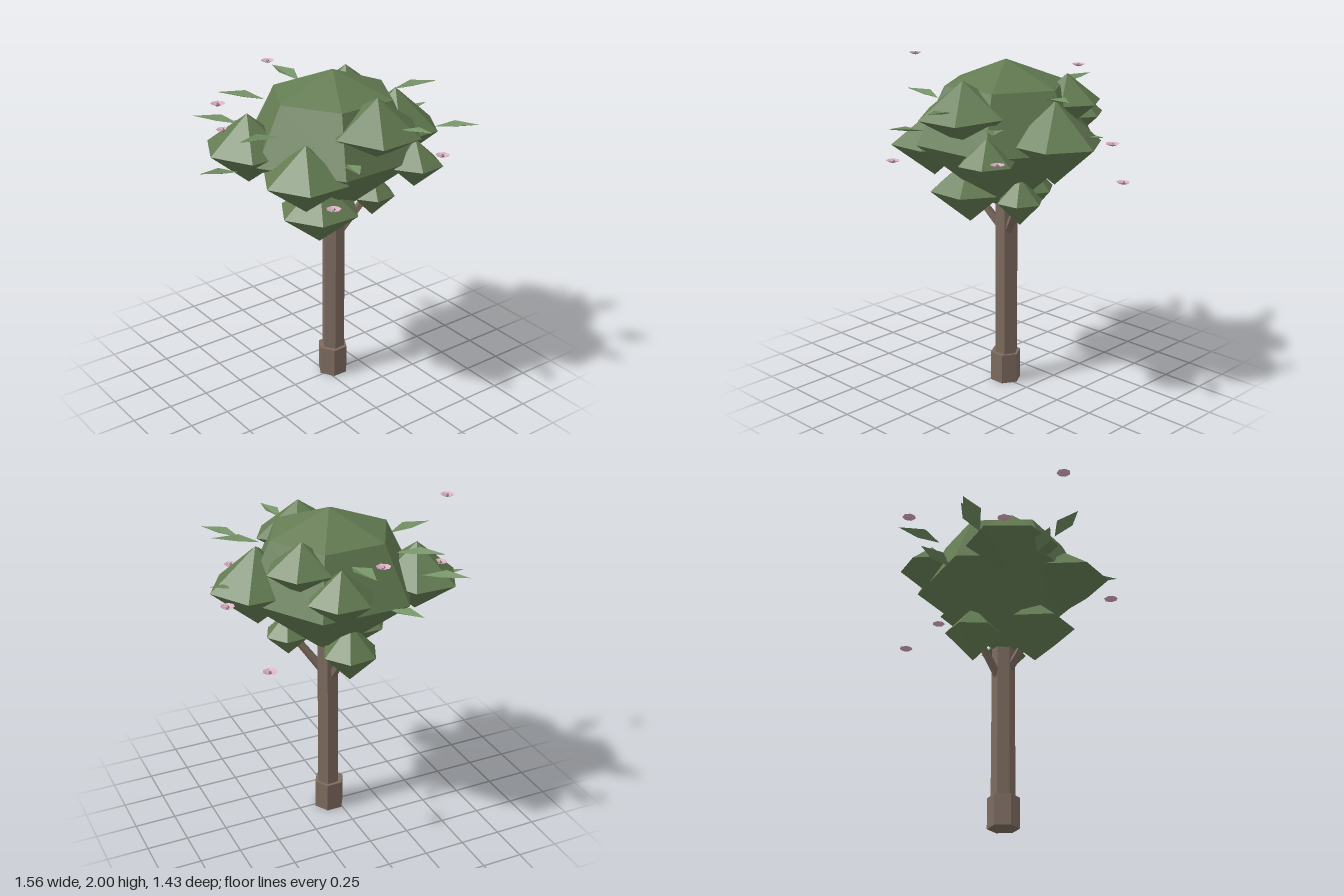
import * as THREE from 'three';

const V = (x, y, z) => new THREE.Vector3(x, y, z);
const paint = (color, extra = {}) =>
  new THREE.MeshStandardMaterial({ color, flatShading: true, ...extra });
const profile = (points) => points.map(([r, y]) => new THREE.Vector2(r, y));

export function createModel() {
  const group = new THREE.Group();
  const bark = paint(0x7d6b5f);
  const foliage = paint(0x637b52);
  const leafGreen = paint(0x739064, { side: THREE.DoubleSide });
  const pink = paint(0xdcaac2, { side: THREE.DoubleSide });
  const grey = paint(0x8f8a80);

  const add = (name, geometry, material, pos, parent = group) => {
    const mesh = new THREE.Mesh(geometry, material);
    mesh.name = name;
    mesh.position.copy(pos);
    parent.add(mesh);
    return mesh;
  };

  // Hexagonal trunk and thicker foot
  const foot = add('trunkFoot', new THREE.CylinderGeometry(0.095, 0.095, 0.185, 6), bark, V(0.055, 0.0925, -0.017));
  foot.rotation.y = Math.PI / 6;
  const trunk = add('trunk', new THREE.CylinderGeometry(0.07, 0.072, 1.2, 6), bark, V(0.06, 0.7, -0.017));
  trunk.rotation.y = Math.PI / 6 + 0.08;

  // Short branches, one reaching into each low clump
  const branches = [
    [V(0.09, 0.97, 0.0), V(0.26, 1.22, 0.08)],
    [V(0.04, 0.98, 0.0), V(-0.12, 1.2, 0.08)],
    [V(0.05, 0.94, -0.05), V(0.02, 1.18, -0.22)],
  ];
  for (const [a, b] of branches) {
    const d = b.clone().sub(a);
    const branch = add('branch', new THREE.CylinderGeometry(0.022, 0.028, d.length(), 5), bark, a.clone().add(b).multiplyScalar(0.5));
    branch.quaternion.setFromUnitVectors(V(0, 1, 0), d.normalize());
  }

  // Main crown: six-sided, domed above and conical below
  const crownShape = profile([[0, 1.08], [0.54, 1.525], [0.37, 1.86], [0, 2]]);
  const crown = add('crown', new THREE.LatheGeometry(crownShape, 6), foliage, V(0.05, 0, -0.02));
  crown.rotation.y = Math.PI / 6 + 0.03;

  // Smaller clumps around it: x, y, z, radius x, height, radius z, turn, forward tilt
  const clumps = [
    [0.08, 1.735, 0.34, 0.28, 0.19, 0.27, 0.05, 0.1],
    [0.32, 1.5, 0.41, 0.165, 0.145, 0.17, 0.1, 0],
    [-0.42, 1.57, -0.2, 0.25, 0.21, 0.28, 0, 0],
    [-0.31, 1.49, 0.22, 0.26, 0.2, 0.26, 0, 0],
    [0.48, 1.58, 0.03, 0.28, 0.24, 0.27, 0, 0],
    [0.32, 1.76, -0.25, 0.21, 0.16, 0.2, 0, 0],
    [0.18, 1.64, -0.46, 0.2, 0.17, 0.19, 0, 0],
    [-0.13, 1.21, 0.1, 0.25, 0.2, 0.24, 0, 0],
    [0.27, 1.21, 0.09, 0.14, 0.14, 0.14, 0.1, 0],
    [0.02, 1.18, -0.24, 0.17, 0.18, 0.17, 0.1, 0],
  ];
  const clumpGeometry = new THREE.SphereGeometry(1, 6, 2);
  for (const [x, y, z, rx, ry, rz, turn, tilt] of clumps) {
    const clump = add('foliageClump', clumpGeometry, foliage, V(x, y, z));
    clump.scale.set(rx, ry, rz);
    clump.rotation.set(tilt, turn, 0);
  }

  // Loose pointed leaves: base x, z, tip x, z, tip height
  const leaves = [
    [-0.36, -0.38, -0.55, -0.59, 1.68],
    [-0.22, -0.32, -0.42, -0.52, 1.82],
    [-0.11, -0.46, -0.21, -0.69, 1.55],
    [0.11, -0.44, 0.1, -0.72, 1.84],
    [-0.55, -0.1, -0.78, -0.14, 1.515],
    [-0.4, 0.1, -0.67, 0.11, 1.755],
    [-0.17, 0.42, -0.25, 0.63, 1.64],
    [0.13, 0.5, 0.18, 0.71, 1.8],
    [0.42, 0.45, 0.59, 0.64, 1.74],
    [0.44, 0.06, 0.69, 0.16, 1.855],
    [0.63, -0.04, 0.78, -0.03, 1.65],
  ];
  // A folded diamond, one unit long along +z
  const leafGeometry = new THREE.BufferGeometry();
  leafGeometry.setAttribute('position', new THREE.Float32BufferAttribute([
    0, 0, 0, -0.2, 0.06, 0.45, 0, -0.02, 0.45, 0.2, 0.06, 0.45, 0, 0, 1,
  ], 3));
  leafGeometry.setIndex([0, 2, 1, 0, 3, 2, 1, 2, 4, 2, 3, 4]);
  leafGeometry.computeVertexNormals();
  for (const [bx, bz, tx, tz, y] of leaves) {
    const base = V(bx, y - 0.03, bz);
    const tip = V(tx, y, tz);
    const leaf = add('leaf', leafGeometry, leafGreen, base);
    leaf.lookAt(tip);
    leaf.scale.setScalar(base.distanceTo(tip));
  }

  // Drifting blossoms: a shallow petal cup with a small centre
  const blossoms = [
    [0.04, 1.885, -0.675], [0.6, 1.28, -0.445], [0.73, 1.58, -0.17], [0.47, 1.53, 0.48],
    [-0.34, 1.42, 0.52], [-0.72, 1.95, -0.01], [-0.52, 1.67, -0.3],
  ];
  const cup = new THREE.LatheGeometry(profile([[0, -0.01], [0.02, -0.005], [0.042, 0.006]]), 7);
  const heart = new THREE.OctahedronGeometry(0.013);
  blossoms.forEach(([x, y, z], i) => {
    const blossom = new THREE.Group();
    blossom.name = 'blossom';
    blossom.position.set(x, y, z);
    blossom.rotation.y = i * 0.7;
    add('petals', cup, pink, V(0, 0, 0), blossom);
    add('blossomCentre', heart, grey, V(0, 0, 0), blossom);
    group.add(blossom);
  });

  return group;
}
